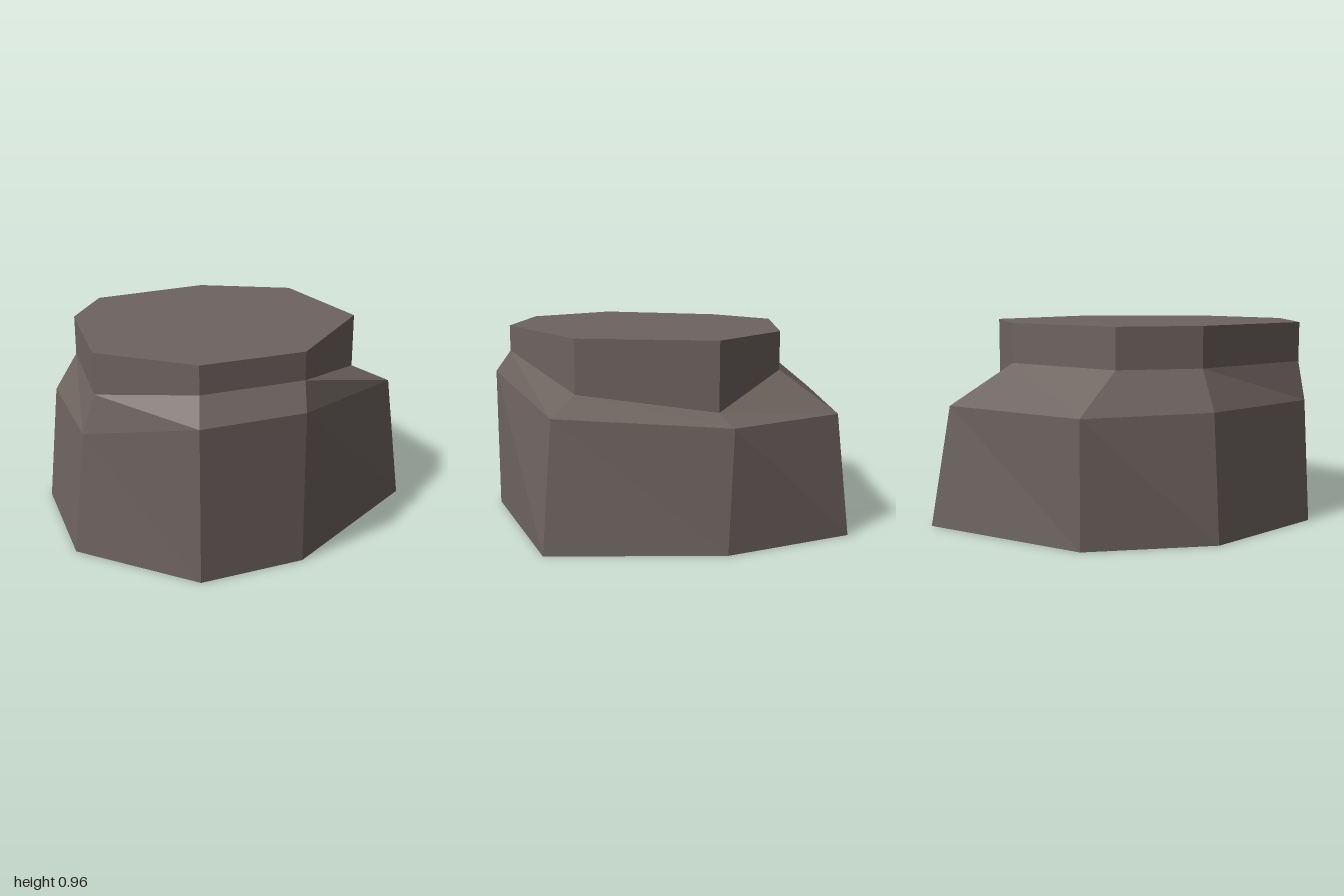
import * as THREE from 'three';

// Eight corners per ring, from the front round by +x to the back: [x, y, z]
const base = [
  [-0.12, 0, 1], [0.34, 0, 0.81], [0.91, 0, 0.09], [0.48, 0, -0.63],
  [-0.07, 0, -1], [-0.76, 0, -0.51], [-0.91, 0, 0.09], [-0.7, 0, 0.71],
];
const shoulder = [
  [-0.12, 0.715, 1], [0.34, 0.715, 0.81], [0.83, 0.62, 0.09], [0.43, 0.58, -0.63],
  [-0.12, 0.58, -0.91], [-0.76, 0.58, -0.51], [-0.85, 0.585, 0.09], [-0.64, 0.585, 0.71],
];
const neck = [
  [-0.12, 0.83, 0.9], [0.34, 0.83, 0.71], [0.64, 0.7, 0.09], [0.37, 0.63, -0.52],
  [-0.12, 0.77, -0.6], [-0.66, 0.77, -0.3], [-0.74, 0.77, 0.09], [-0.58, 0.77, 0.71],
];
// The neck rises straight up to a level top
const crown = neck.map(([x, , z]) => [x, 0.96, z]);

// Faceted band between two rings
function band(low, high) {
  const out = [];
  low.forEach((a, i) => {
    const j = (i + 1) % low.length;
    out.push(a, low[j], high[i], low[j], high[j], high[i]);
  });
  return out;
}

// Flat fan closing a ring
function cap(ring, up) {
  const out = [];
  for (let i = 1; i < ring.length - 1; i++) {
    out.push(ring[0], ...(up ? [ring[i], ring[i + 1]] : [ring[i + 1], ring[i]]));
  }
  return out;
}

function part(name, corners, material) {
  const geometry = new THREE.BufferGeometry();
  geometry.setAttribute('position', new THREE.Float32BufferAttribute(corners.flat(), 3));
  geometry.computeVertexNormals();
  const mesh = new THREE.Mesh(geometry, material);
  mesh.name = name;
  return mesh;
}

export function createModel() {
  const stone = new THREE.MeshStandardMaterial({ color: 0x6e6460, flatShading: true });
  stone.name = 'stone';

  const rock = new THREE.Group();
  rock.name = 'rock';
  rock.add(
    part('underside', cap(base, false), stone),
    part('body', band(base, shoulder), stone),
    part('ledge', band(shoulder, neck), stone),
    part('neck', band(neck, crown), stone),
    part('top', cap(crown, true), stone),
  );
  return rock;
}
